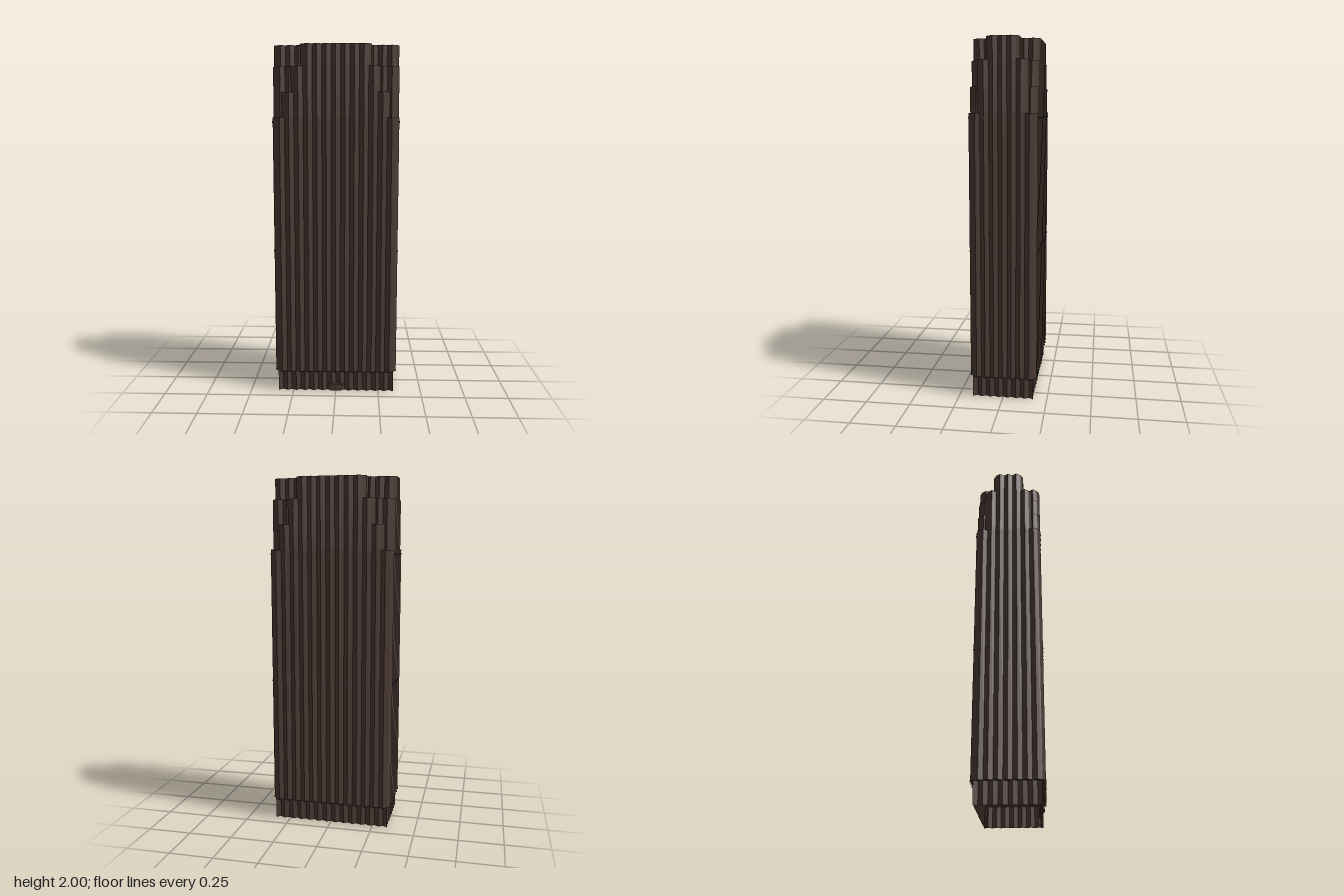
import * as THREE from 'three';

const PX = 0.052, PZ = 0.049, TOOTH = 0.0165;
const X = k => PX * (k + 0.5), Z = k => PZ * (k + 0.5); // valley lattice

// Corners of a quadrant (lattice indices), from the +x side round to the +z side
const tiers = [
  { name: 'mainShaft', y0: 0.12, y1: 1.6, corner: [[6, 3]] },
  { name: 'lowerSetback', y0: 1.6, y1: 1.74, corner: [[6, 2], [5, 2], [5, 3]] },
  { name: 'middleSetback', y0: 1.74, y1: 1.88, corner: [[6, 2], [4, 2], [4, 3]] },
  { name: 'crown', y0: 1.88, y1: 2, corner: [[6, 1], [3, 1], [3, 3]] },
];

// Mirror the quadrant corners into a closed counterclockwise loop
function fullLoop(corner) {
  const q = corner.map(([i, k]) => [X(i), Z(k)]);
  const r = [...q].reverse();
  return [
    ...q,
    ...r.map(([x, z]) => [-x, z]),
    ...q.map(([x, z]) => [-x, -z]),
    ...r.map(([x, z]) => [x, -z]),
  ];
}

// Replace every straight edge with a row of pointed teeth
function serrate(loop, depth) {
  const pts = [], peaks = [];
  loop.forEach(([ax, az], i) => {
    const [bx, bz] = loop[(i + 1) % loop.length];
    const dx = bx - ax, dz = bz - az, len = Math.hypot(dx, dz);
    const n = Math.round(len / (Math.abs(dx) > Math.abs(dz) ? PX : PZ));
    for (let k = 0; k < n; k++) {
      const m = (k + 0.5) / n;
      pts.push(new THREE.Vector2(ax + dx * k / n, az + dz * k / n));
      const peak = new THREE.Vector2(ax + dx * m + dz / len * depth, az + dz * m - dx / len * depth);
      pts.push(peak);
      peaks.push(peak);
    }
  });
  return { pts, peaks };
}

// Upright prism from a plan outline (symmetric in z)
function prism(pts, y0, y1) {
  const g = new THREE.ExtrudeGeometry(new THREE.Shape(pts), { depth: y1 - y0, bevelEnabled: false });
  g.rotateX(-Math.PI / 2);
  g.translate(0, y0, 0);
  return g;
}

// Open band of walls following a plan outline
function band(pts, y0, y1) {
  const pos = [];
  pts.forEach((a, i) => {
    const b = pts[(i + 1) % pts.length];
    pos.push(a.x, y0, a.y, b.x, y1, b.y, b.x, y0, b.y);
    pos.push(a.x, y0, a.y, a.x, y1, a.y, b.x, y1, b.y);
  });
  const g = new THREE.BufferGeometry();
  g.setAttribute('position', new THREE.Float32BufferAttribute(pos, 3));
  g.computeVertexNormals();
  return g;
}

export function createModel() {
  const model = new THREE.Group();
  model.name = 'tower';
  const make = (name, color, side = THREE.FrontSide) => {
    const m = new THREE.MeshStandardMaterial({ color, side });
    m.name = name;
    return m;
  };
  const brown = make('darkBrown', 0x4c3b34, THREE.DoubleSide);
  const grey = make('lampGrey', 0x3c3a3c);
  const add = (name, geo, mat, parent = model) => {
    const mesh = new THREE.Mesh(geo, mat);
    mesh.name = name;
    parent.add(mesh);
    return mesh;
  };

  // Stacked tiers with stepped corners
  for (const t of tiers) {
    add(t.name, prism(serrate(fullLoop(t.corner), TOOTH).pts, t.y0, t.y1), brown);
  }

  // Hollow recessed base, grooved inward
  const shaftLoop = fullLoop([[6, 3]]);
  add('base', band(serrate(shaftLoop, -TOOTH).pts, 0, 0.12), brown);

  // Entrance with canopy
  const door = add('door', new THREE.BoxGeometry(0.06, 0.032, 0.02), brown);
  door.position.set(0, 0.016, 0.162);
  const canopy = add('canopy', new THREE.BoxGeometry(0.084, 0.012, 0.03), brown);
  canopy.position.set(0, 0.038, 0.165);

  // Small lamps on the tooth edges at three levels
  const lamps = new THREE.Group();
  lamps.name = 'edgeLamps';
  model.add(lamps);
  const lampGeo = new THREE.BoxGeometry(0.005, 0.009, 0.005);
  for (const y of [0.12, 0.84, 1.575]) {
    for (const p of serrate(shaftLoop, TOOTH).peaks) {
      add('edgeLamp', lampGeo, grey, lamps).position.set(p.x, y, p.y);
    }
  }
  return model;
}
